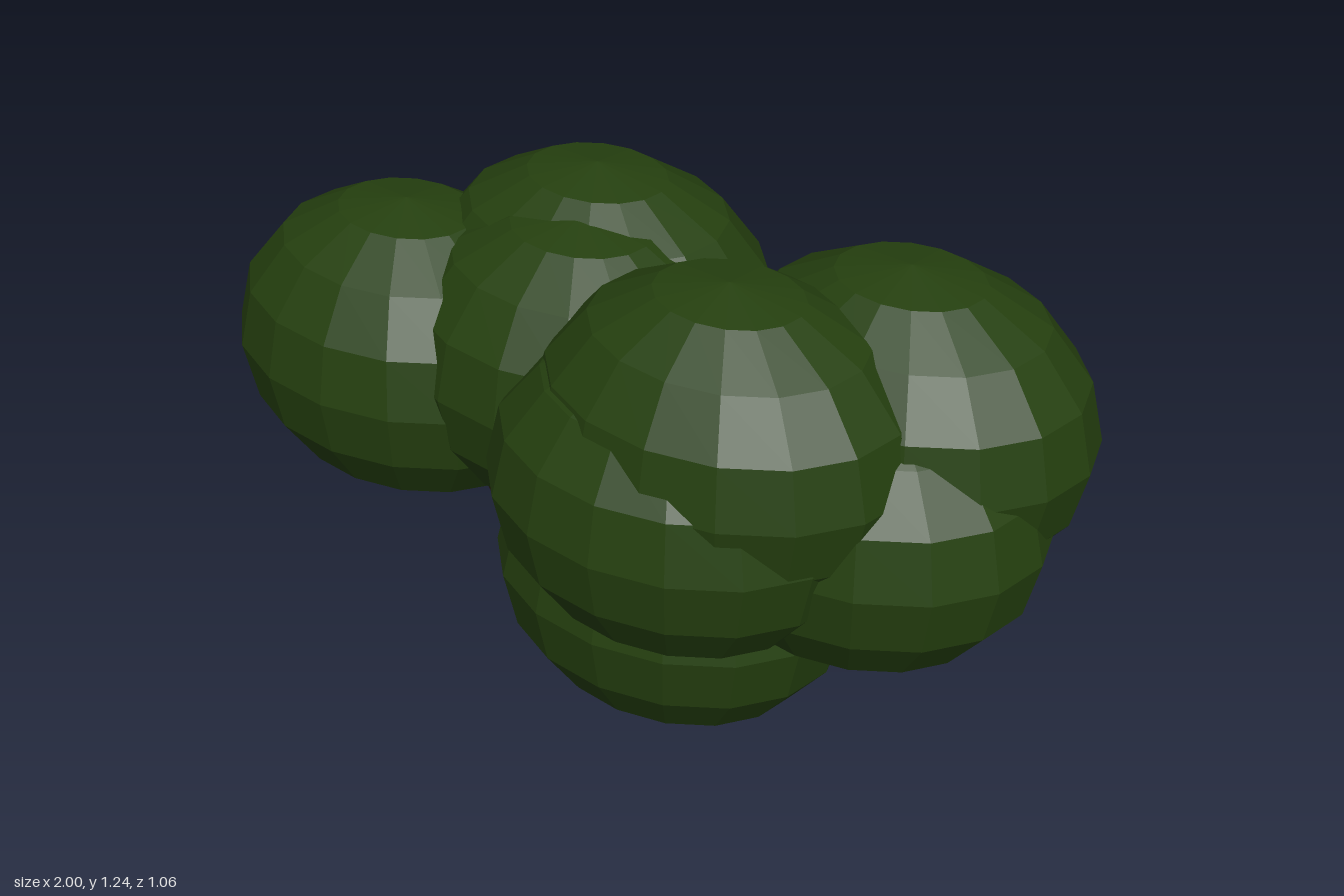
import * as THREE from 'three';

export function createModel() {
  const model = new THREE.Group();
  model.name = 'foliageCluster';

  const leafGreen = new THREE.MeshStandardMaterial({ color: 0x25400f, flatShading: true });
  leafGreen.name = 'leaf green';
  const barkBrown = new THREE.MeshStandardMaterial({ color: 0x2a1210, flatShading: true });
  barkBrown.name = 'bark brown';

  // Leaf clumps: equal faceted ellipsoids at different centres
  const clumpShape = new THREE.SphereGeometry(1, 16, 8).scale(0.425, 0.355, 0.34);
  const clumps = {
    rightClump: [-0.575, 0.75, 0],
    backClump: [-0.2, 0.86, -0.19],
    middleClump: [-0.15, 0.81, -0.05],
    frontTopClump: [0.32, 0.885, 0.13],
    frontLowerClump: [0.24, 0.755, 0.185],
    leftTopClump: [0.575, 0.865, -0.155],
    leftLowerClump: [0.545, 0.705, -0.03],
    bottomClump: [0.105, 0.36, -0.03],
  };
  for (const [name, position] of Object.entries(clumps)) {
    const clump = new THREE.Mesh(clumpShape, leafGreen);
    clump.name = name;
    clump.position.set(...position);
    model.add(clump);
  }

  // Thin branch linking the bottom clump to the right one
  const from = new THREE.Vector3(-0.2, 0.19, 0);
  const to = new THREE.Vector3(-0.46, 0.61, 0);
  const along = to.clone().sub(from);
  const branch = new THREE.Mesh(new THREE.CylinderGeometry(0.025, 0.03, along.length(), 8), barkBrown);
  branch.name = 'branch';
  branch.position.copy(from).add(to).multiplyScalar(0.5);
  branch.quaternion.setFromUnitVectors(new THREE.Vector3(0, 1, 0), along.normalize());
  model.add(branch);

  return model;
}
